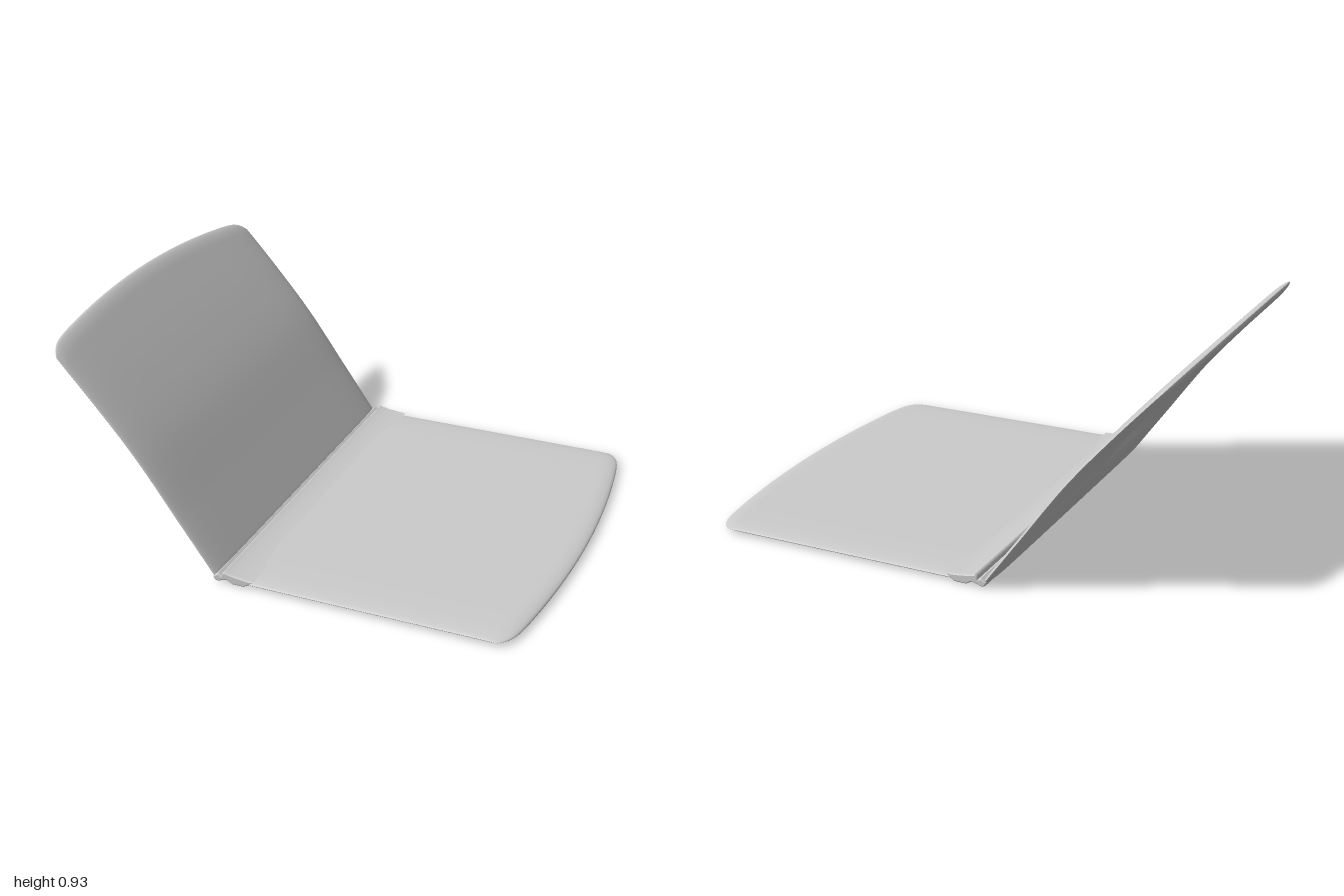
import * as THREE from 'three';

const HALF_WIDTH = 0.805;
const material = new THREE.MeshStandardMaterial({ color: 0xcccccc, side: THREE.DoubleSide });

// How far the bowed free edge falls back towards the rounded corners (v = -1..1 across).
const edgeDrop = (v) => 0.075 * v * v + 0.045 * Math.pow(Math.abs(v), 24);

// Rounded taper: 0 at an edge, 1 once `d` exceeds the radius `r`.
const taper = (d, r) => {
  const k = 1 - Math.min(1, Math.max(0, d / r));
  return Math.sqrt(1 - k * k);
};

// Thin cushion-edged panel swept along a side profile, with an optional square recess.
function makePanel(name, points, halfThickness, recess) {
  const curve = new THREE.CatmullRomCurve3(points.map(([x, y]) => new THREE.Vector3(x, y, 0)));
  const length = curve.getLength();
  const nu = 56, nv = 64;
  const position = [], index = [];
  for (const side of [1, -1]) {
    const start = position.length / 3;
    for (let i = 0; i <= nu; i++) {
      const s = 0.5 - 0.5 * Math.cos((Math.PI * i) / nu);
      for (let j = 0; j <= nv; j++) {
        const v = -Math.cos((Math.PI * j) / nv);
        const span = length - edgeDrop(v);
        const l = s * span;
        const p = curve.getPointAt(l / length);
        const d = curve.getTangentAt(l / length);
        const across = Math.sqrt(Math.max(0, 1 - Math.pow(Math.abs(v), 10)));
        let t = halfThickness * across * taper(span - l, 0.07) * taper(l, 0.02);
        if (recess && side === 1) {
          const reach = Math.max(Math.abs(v * HALF_WIDTH), Math.abs(l - length / 2));
          t -= recess.depth * (1 - THREE.MathUtils.smoothstep(reach, recess.size - 0.03, recess.size));
        }
        position.push(p.x - d.y * t * side, p.y + d.x * t * side, v * HALF_WIDTH);
        if (i < nu && j < nv) {
          const a = start + i * (nv + 1) + j, b = a + 1, c = a + nv + 1, e = c + 1;
          if (side === 1) index.push(a, b, c, b, e, c);
          else index.push(a, c, b, b, c, e);
        }
      }
    }
  }
  const geometry = new THREE.BufferGeometry();
  geometry.setAttribute('position', new THREE.Float32BufferAttribute(position, 3));
  geometry.setIndex(index);
  geometry.computeVertexNormals();
  const mesh = new THREE.Mesh(geometry, material);
  mesh.name = name;
  return mesh;
}

// Narrow ridged strip joining both panels along the fold.
function makeHinge() {
  const shape = new THREE.Shape();
  shape.moveTo(-0.283, 0.03);
  shape.quadraticCurveTo(-0.283, 0.008, -0.262, 0.01);
  shape.lineTo(-0.225, 0.022);
  shape.lineTo(-0.2, 0.008);
  shape.lineTo(-0.15, 0.008);
  shape.lineTo(-0.11, 0.038);
  shape.quadraticCurveTo(-0.19, 0.042, -0.235, 0.055);
  shape.quadraticCurveTo(-0.245, 0.052, -0.248, 0.036);
  shape.lineTo(-0.262, 0.044);
  const geometry = new THREE.ExtrudeGeometry(shape, {
    depth: 1.6, curveSegments: 6, bevelEnabled: true,
    bevelThickness: 0.008, bevelSize: 0.005, bevelOffset: -0.005, bevelSegments: 2,
  });
  geometry.translate(0, 0, -0.8);
  const mesh = new THREE.Mesh(geometry, material);
  mesh.name = 'hinge';
  return mesh;
}

export function createModel() {
  const group = new THREE.Group();
  group.name = 'foldedPanels';
  // Flat half lying on the ground.
  group.add(makePanel('base', [[-0.21, 0.022], [0.2, 0.022], [0.6, 0.022], [0.995, 0.022]], 0.018));
  // Raised half, gently curved, with a plain recess on its outer face.
  group.add(makePanel('lid',
    [[-0.268, 0.018], [-0.42, 0.23], [-0.6, 0.48], [-0.76, 0.67], [-0.998, 0.932]],
    0.017, { size: 0.2, depth: 0.014 }));
  group.add(makeHinge());
  return group;
}
